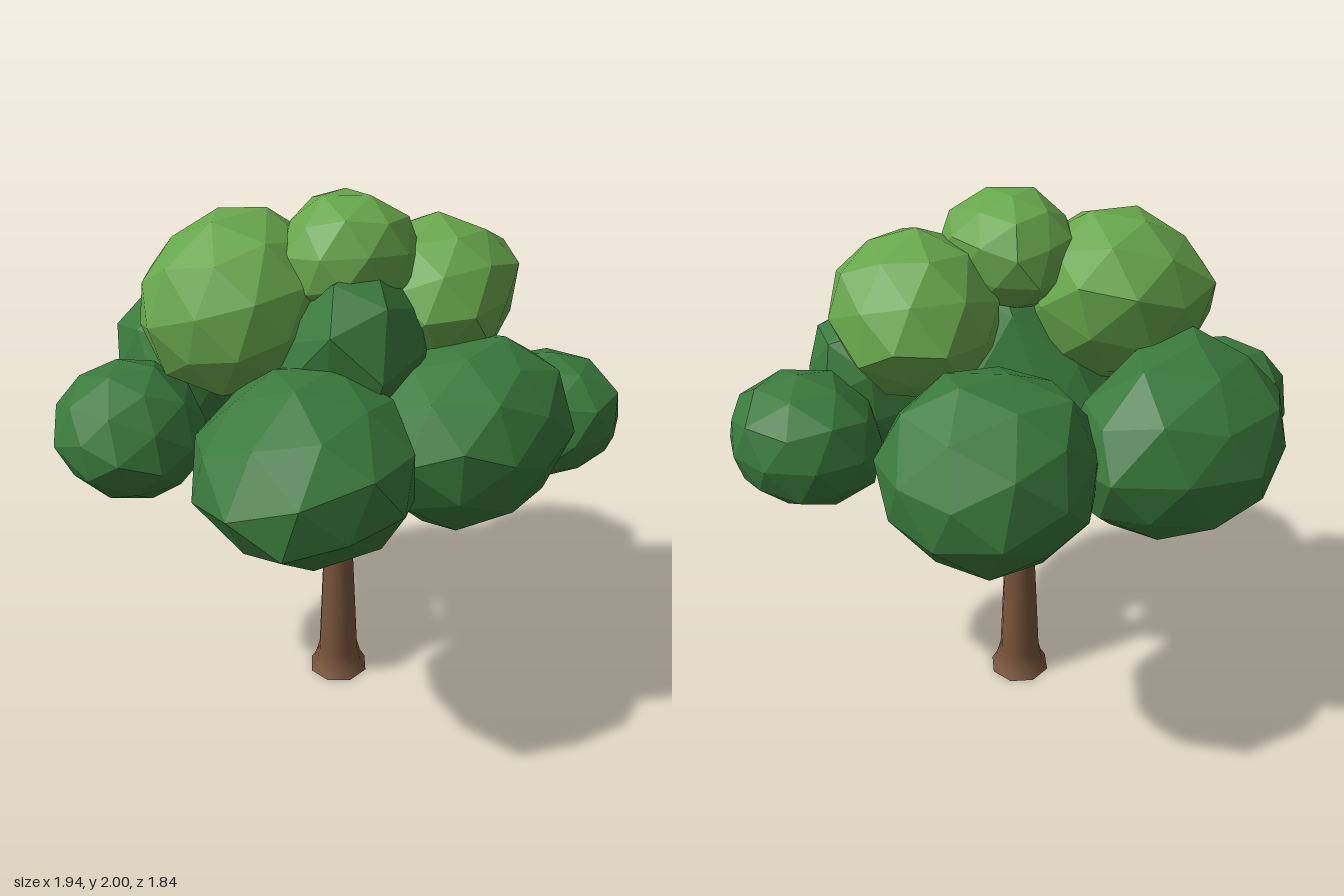
import * as THREE from 'three';

const bark = new THREE.MeshStandardMaterial({ color: 0x7a553c });
bark.name = 'bark brown';
const darkLeaf = new THREE.MeshStandardMaterial({ color: 0x3a7a3c, flatShading: true });
darkLeaf.name = 'deep leaf green';
const lightLeaf = new THREE.MeshStandardMaterial({ color: 0x67a64b, flatShading: true });
lightLeaf.name = 'sunlit leaf green';

// Small repeatable noise so shared corners move together
function noise(v, seed) {
  const s = Math.sin(Math.round(v.x * 100) * 12.9898 + Math.round(v.y * 100) * 78.233
    + Math.round(v.z * 100) * 37.719 + seed * 4.13) * 43758.5453;
  return s - Math.floor(s);
}

// Uneven faceted ball reaching out to six tips: +x, -x, +y, -y, +z, -z
function leafClump(name, material, seed, tips) {
  const t = tips.map((p) => new THREE.Vector3(...p));
  const max = new THREE.Vector3(t[0].x, t[2].y, t[4].z);
  const min = new THREE.Vector3(t[1].x, t[3].y, t[5].z);
  const centre = min.clone().add(max).multiplyScalar(0.5);
  const arms = t.map((p) => p.sub(centre));

  const geo = new THREE.IcosahedronGeometry(1, 1);
  geo.rotateX(seed * 0.7);
  geo.rotateY(seed * 1.3);
  const pos = geo.attributes.position;
  const v = new THREE.Vector3();
  for (let i = 0; i < pos.count; i++) {
    v.fromBufferAttribute(pos, i);
    v.multiplyScalar(0.95 + 0.1 * noise(v, seed));
    const p = new THREE.Vector3();
    v.toArray().forEach((c, axis) => p.addScaledVector(arms[axis * 2 + (c < 0 ? 1 : 0)], Math.abs(c)));
    pos.setXYZ(i, p.x, p.y, p.z);
  }

  // Settle the clump exactly between its tips
  geo.computeBoundingBox();
  const size = geo.boundingBox.getSize(new THREE.Vector3());
  const mid = geo.boundingBox.getCenter(new THREE.Vector3());
  const fit = max.sub(min).divide(size);
  geo.translate(-mid.x, -mid.y, -mid.z);
  geo.scale(fit.x, fit.y, fit.z);
  geo.translate(centre.x, centre.y, centre.z);
  geo.computeVertexNormals();
  const mesh = new THREE.Mesh(geo, material);
  mesh.name = name;
  return mesh;
}

// Tapered limb between two points
function branch(name, from, to, r0, r1) {
  const a = new THREE.Vector3(...from);
  const b = new THREE.Vector3(...to);
  const dir = b.clone().sub(a);
  const mesh = new THREE.Mesh(new THREE.CylinderGeometry(r1, r0, dir.length(), 8), bark);
  mesh.position.copy(a).add(b).multiplyScalar(0.5);
  mesh.quaternion.setFromUnitVectors(new THREE.Vector3(0, 1, 0), dir.normalize());
  mesh.name = name;
  return mesh;
}

export function createModel() {
  const tree = new THREE.Group();
  tree.name = 'tree';

  // Trunk with a flared foot, closed by flat discs
  const profile = [[0.122, 0], [0.1, 0.04], [0.084, 0.1], [0.056, 0.7]]
    .map(([r, y]) => new THREE.Vector2(r, y));
  const trunk = new THREE.Group();
  trunk.name = 'trunk';
  trunk.position.set(-0.01, 0, -0.01);
  const stem = new THREE.Mesh(new THREE.LatheGeometry(profile, 8), bark);
  stem.name = 'stem';
  trunk.add(stem);
  for (const [name, r, y, turn] of [['trunkTop', 0.056, 0.7, -1], ['trunkBase', 0.122, 0, 1]]) {
    const disc = new THREE.Mesh(new THREE.CircleGeometry(r, 8), bark);
    disc.name = name;
    disc.position.y = y;
    disc.rotation.x = turn * Math.PI / 2;
    trunk.add(disc);
  }
  tree.add(trunk);

  // Three forking branches
  tree.add(
    branch('leftBranch', [0.02, 0.62, 0], [0.37, 1.02, 0.07], 0.038, 0.023),
    branch('rightBranch', [-0.02, 0.65, -0.01], [-0.35, 1.04, -0.14], 0.038, 0.023),
    branch('frontBranch', [-0.01, 0.65, 0], [0.02, 1.02, 0.25], 0.036, 0.023),
  );

  // Lower crown and core
  tree.add(
    leafClump('frontClump', darkLeaf, 1, [[0.46, 1.23, 0.52], [-0.33, 1.2, 0.46],
      [0.05, 1.52, 0.43], [0.08, 0.89, 0.48], [0.1, 1.22, 0.92], [0.07, 1.2, 0.2]]),
    leafClump('backClump', darkLeaf, 2, [[0.27, 1.27, -0.55], [-0.43, 1.27, -0.56],
      [-0.09, 1.58, -0.52], [-0.1, 0.93, -0.6], [-0.1, 1.25, -0.22], [-0.08, 1.26, -0.92]]),
    leafClump('rightBackClump', darkLeaf, 3, [[-0.25, 1.25, -0.2], [-0.97, 1.25, -0.14],
      [-0.64, 1.61, -0.15], [-0.6, 0.95, -0.18], [-0.57, 1.3, 0.22], [-0.53, 1.28, -0.57]]),
    leafClump('rightFrontClump', darkLeaf, 4, [[-0.38, 1.15, 0.42], [-0.94, 1.17, 0.33],
      [-0.66, 1.4, 0.35], [-0.65, 0.93, 0.36], [-0.67, 1.17, 0.66], [-0.66, 1.14, 0.08]]),
    leafClump('leftClump', darkLeaf, 5, [[0.86, 1.25, 0.09], [0.15, 1.22, 0.13],
      [0.5, 1.55, 0.07], [0.49, 0.89, 0.08], [0.53, 1.25, 0.47], [0.58, 1.25, -0.23]]),
    leafClump('leftBackClump', darkLeaf, 6, [[0.97, 1.15, -0.35], [0.41, 1.14, -0.36],
      [0.69, 1.39, -0.34], [0.67, 0.9, -0.34], [0.68, 1.13, -0.08], [0.68, 1.15, -0.63]]),
    leafClump('coreClump', darkLeaf, 7, [[0.37, 1.28, 0.06], [-0.42, 1.18, -0.05],
      [0.18, 1.82, 0.21], [-0.02, 0.97, 0], [0.03, 1.32, 0.42], [0, 1.3, -0.45]]),
  );

  // Sunlit upper crown
  tree.add(
    leafClump('topRightClump', lightLeaf, 8, [[0, 1.65, 0.18], [-0.66, 1.62, 0.17],
      [-0.34, 1.94, 0.14], [-0.31, 1.32, 0.17], [-0.32, 1.6, 0.49], [-0.32, 1.65, -0.19]]),
    leafClump('topLeftClump', lightLeaf, 9, [[0.58, 1.66, -0.18], [0, 1.6, -0.23],
      [0.3, 1.91, -0.19], [0.29, 1.33, -0.2], [0.31, 1.61, 0.14], [0.29, 1.6, -0.53]]),
    leafClump('topClump', lightLeaf, 10, [[0.28, 1.8, 0.05], [-0.21, 1.8, -0.02],
      [0.03, 2, 0.03], [0.03, 1.59, 0.04], [0.01, 1.78, 0.29], [0.03, 1.8, -0.21]]),
  );
  return tree;
}
